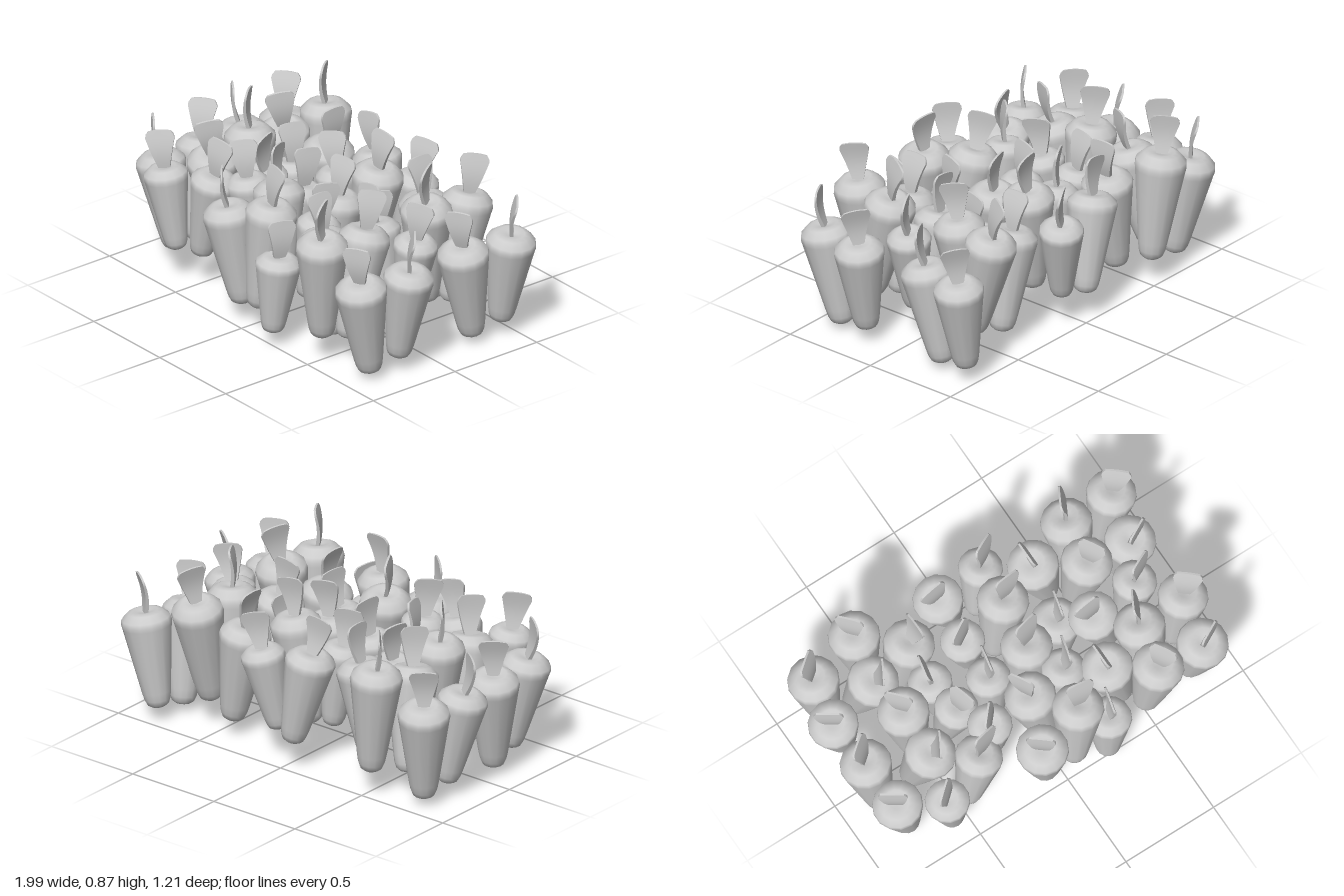
import * as THREE from 'three';

const material = new THREE.MeshStandardMaterial({ color: 0xcccccc, side: THREE.DoubleSide });

// Tapered root, unit radius and unit length, tip at the origin
const rootProfile = [
  [0, 0], [0.28, 0.004], [0.43, 0.03], [0.51, 0.08], [0.57, 0.16], [0.97, 0.84],
  [1, 0.88], [0.96, 0.925], [0.7, 0.985], [0.5, 1], [0.25, 0.985], [0, 0.975],
].map(([r, y]) => new THREE.Vector2(r, y));
const rootGeometry = new THREE.LatheGeometry(rootProfile, 14);

// Leaf: a thin strip that flares to a blunt tip with rounded corners and bows slightly
function makeLeafGeometry() {
  const height = 0.205;
  const geometry = new THREE.BoxGeometry(1, height, 0.016, 4, 12, 1);
  const p = geometry.attributes.position;
  for (let i = 0; i < p.count; i++) {
    const t = p.getY(i) / height + 0.5;
    const side = p.getX(i) * 2;
    const width = 0.05 + 0.095 * Math.min(1, t / 0.85);
    const corner = t > 0.83 ? 1 - 0.22 * ((t - 0.83) / 0.17) ** 2 : 1;
    const y = t * height - 0.006 * t * t * side * side;
    const thickness = 1.2 - 0.6 * t;
    const bend = 0.011 * Math.sin(t * 3.4);
    p.setXYZ(i, side * width * corner / 2, y - 0.02, p.getZ(i) * thickness + bend);
  }
  geometry.computeVertexNormals();
  return geometry;
}
const leafGeometry = makeLeafGeometry();

const TALL = { radius: 0.127, length: 0.56 };
const LARGE = { radius: 0.127, length: 0.52 };
const MEDIUM = { radius: 0.123, length: 0.49 };
const SMALL = { radius: 0.109, length: 0.43 };

// Each kind: size, height of its top, tip offset [x, z], leaf angle, spots [x, z]
const outerKinds = [
  [LARGE, 0.57, [0.05, 0.06], 38, [[-0.835, -0.44], [-0.86, 0.05]]],
  [MEDIUM, 0.57, [0.08, -0.03], -35, [[-0.88, -0.2], [-0.85, 0.31]]],
  [TALL, 0.7, [0.05, 0.02], -50, [[-0.575, -0.48], [-0.592, -0.03]]],
  [LARGE, 0.65, [-0.05, -0.1], 62, [[-0.61, -0.25], [-0.585, 0.205]]],
  [LARGE, 0.61, [0.08, 0], 90, [[0.35, -0.335], [0.36, 0.29]]],
  [TALL, 0.7, [0, 0.11], 62, [[0.59, -0.41], [0.59, 0.22]]],
  [MEDIUM, 0.57, [-0.07, 0.01], -38, [[0.875, -0.445], [0.872, 0.178]]],
  [TALL, 0.7, [-0.05, -0.04], -58, [[0.56, -0.18], [0.55, 0.45]]],
  [LARGE, 0.565, [-0.03, -0.08], 28, [[0.818, -0.195], [0.818, 0.43]]],
  [SMALL, 0.62, [-0.06, 0.01], 27, [[0.71, 0.005]]],
];
const backKinds = [
  [MEDIUM, 0.64, [0.09, -0.03], 6, [[-0.13, -0.43]]],
  [SMALL, 0.6, [-0.06, 0.05], 28, [[0.14, -0.465]]],
  [LARGE, 0.62, [-0.07, 0], 92, [[-0.36, -0.325]]],
  [SMALL, 0.6, [0.05, -0.02], 30, [[-0.14, -0.2]]],
  [TALL, 0.7, [-0.07, 0.03], 7, [[0.12, -0.24]]],
  [SMALL, 0.57, [0.05, 0.03], 78, [[-0.38, -0.12]]],
  [MEDIUM, 0.5, [-0.03, 0.02], 76, [[0.31, -0.07]]],
];
const frontKinds = [
  [SMALL, 0.6, [-0.04, -0.05], -72, [[-0.35, 0.07]]],
  [SMALL, 0.58, [-0.01, 0.05], 78, [[-0.135, 0.015]]],
  [LARGE, 0.62, [-0.03, 0.06], 14, [[0.1, -0.01]]],
  [MEDIUM, 0.62, [0.09, -0.01], 4, [[0.445, 0.04]]],
  [SMALL, 0.64, [0.04, -0.03], 48, [[-0.275, 0.24]]],
  [TALL, 0.7, [0.08, 0.06], -62, [[-0.045, 0.235]]],
  [SMALL, 0.58, [-0.05, 0.04], 75, [[0.19, 0.175]]],
  [SMALL, 0.61, [0.05, -0.03], 40, [[-0.65, 0.44]]],
  [{ radius: 0.117, length: 0.46 }, 0.64, [-0.08, 0.02], 14, [[-0.4, 0.34]]],
  [LARGE, 0.62, [0.05, -0.05], -40, [[-0.13, 0.475]]],
  [TALL, 0.7, [-0.05, 0.04], -8, [[0.117, 0.41]]],
  [{ radius: 0.112, length: 0.4 }, 0.485, [-0.02, 0.02], 76, [[0.25, 0.475]]],
];

// One vegetable, leaning from its tip toward its top
function makeCarrot({ radius, length }, top, [dx, dz], leafDegrees, [x, z]) {
  const carrot = new THREE.Group();
  carrot.name = 'carrot';
  const root = new THREE.Mesh(rootGeometry, material);
  root.name = 'root';
  root.scale.set(radius, length, radius);
  const leaf = new THREE.Mesh(leafGeometry, material);
  leaf.name = 'leaf';
  leaf.position.y = length;
  leaf.rotation.y = THREE.MathUtils.degToRad(leafDegrees);
  carrot.add(root, leaf);
  carrot.position.set(x + dx, top - length, z + dz);
  const axis = new THREE.Vector3(-dx, length * 0.9, -dz).normalize();
  carrot.quaternion.setFromUnitVectors(new THREE.Vector3(0, 1, 0), axis);
  return carrot;
}

export function createModel() {
  const model = new THREE.Group();
  model.name = 'carrotPatch';
  for (const [size, top, tip, leafDegrees, spots] of [...outerKinds, ...backKinds, ...frontKinds]) {
    for (const spot of spots) model.add(makeCarrot(size, top, tip, leafDegrees, spot));
  }
  return model;
}
